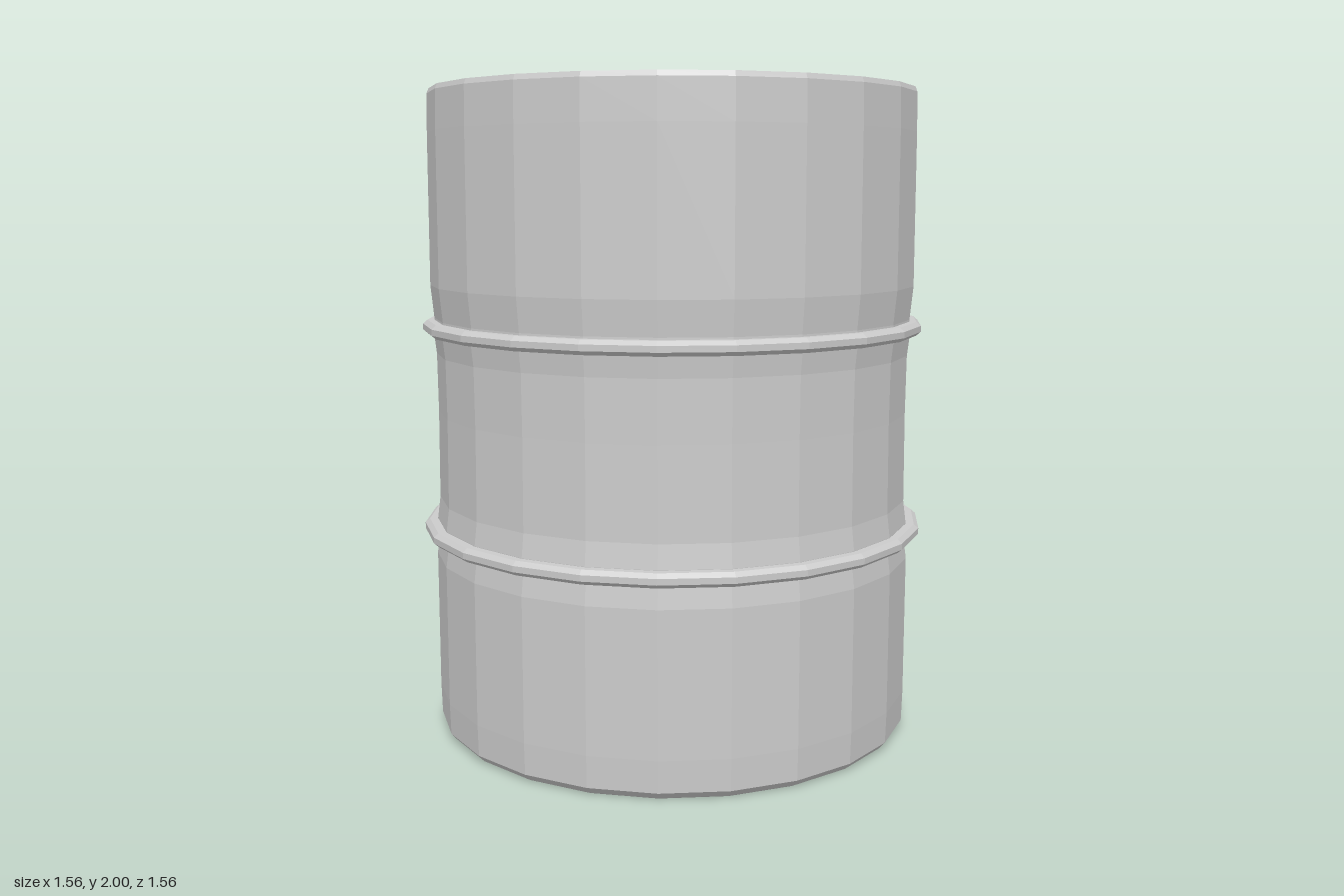
import * as THREE from 'three';

const SIDES = 23;
const material = new THREE.MeshStandardMaterial({ color: 0xcccccc, flatShading: true });

// Revolve a [radius, height] profile, with one corner facing the back
function lathe(name, profile, sides = SIDES) {
  const points = profile.map(([r, y]) => new THREE.Vector2(r, y));
  const geometry = new THREE.LatheGeometry(points, sides).rotateY(Math.PI);
  const mesh = new THREE.Mesh(geometry, material);
  mesh.name = name;
  return mesh;
}

export function createModel() {
  const group = new THREE.Group();
  group.name = 'barrel';

  // Drum wall with a slightly narrower waist
  group.add(lathe('drumBody', [
    [0.727, 0.004], [0.745, 0.025], [0.748, 0.12], [0.748, 0.55], [0.74, 0.61],
    [0.745, 0.66], [0.736, 0.73], [0.734, 1.0], [0.736, 1.18], [0.743, 1.24],
    [0.741, 1.29], [0.751, 1.39], [0.75, 1.85], [0.748, 1.965], [0.742, 1.98],
  ]));

  // Flat base
  group.add(lathe('base', [[0, 0], [0.72, 0], [0.727, 0.004]]));

  // Rolled top rim dropping to the sunken lid
  group.add(lathe('rimAndLid', [[0.742, 1.98], [0.733, 1.978], [0.7, 1.96], [0, 1.96]]));

  // Two rolling hoops around the wall
  for (const [name, y, radius] of [['lowerHoop', 0.638, 0.784], ['upperHoop', 1.263, 0.776]]) {
    group.add(lathe(name, [
      [0.735, y - 0.021], [radius - 0.014, y - 0.021], [radius, y - 0.009],
      [radius, y + 0.009], [radius - 0.014, y + 0.021], [0.735, y + 0.021],
    ]));
  }

  // Filler cap: narrow neck, wider lip, dished top
  const cap = lathe('fillerCap', [
    [0.04, 1.955], [0.04, 1.976], [0.05, 1.98], [0.05, 1.997], [0.047, 2.0],
    [0.04, 2.0], [0.038, 1.985], [0, 1.985],
  ], 20);
  cap.position.x = 0.48;
  group.add(cap);

  return group;
}
